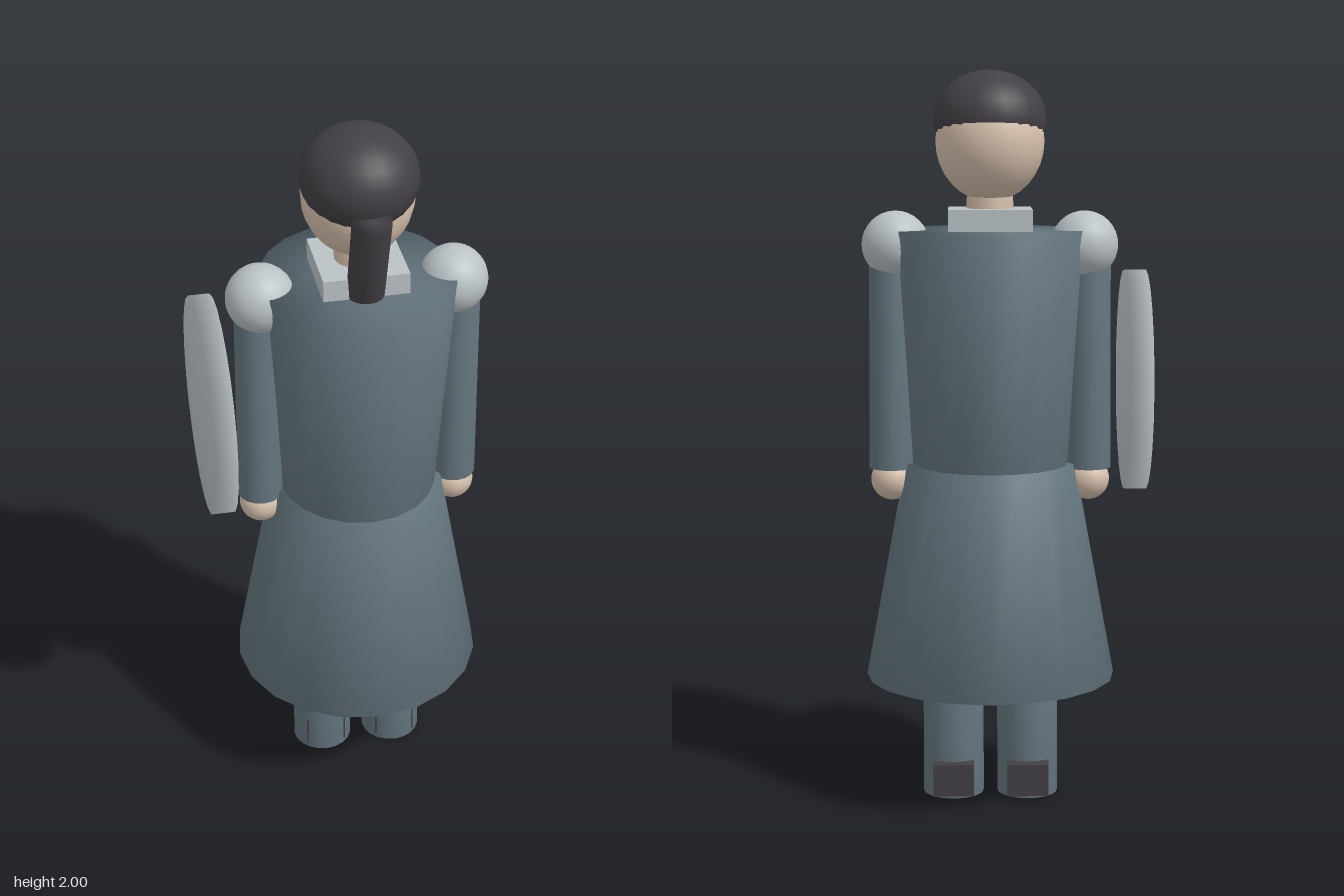
import * as THREE from 'three';
import { mergeVertices } from 'three/addons/utils/BufferGeometryUtils.js';

const material = (name, color) => {
  const m = new THREE.MeshStandardMaterial({ color });
  m.name = name;
  return m;
};

// Cylinder shaded smoothly across its rims
function softCylinder(rTop, rBottom, height, sides = 20) {
  const g = new THREE.CylinderGeometry(rTop, rBottom, height, sides);
  g.deleteAttribute('normal');
  g.deleteAttribute('uv');
  const merged = mergeVertices(g);
  merged.computeVertexNormals();
  return merged;
}

export function createModel() {
  const cloth = material('slate cloth', 0x65767f);
  const skin = material('skin', 0xd8c2ae);
  const metal = material('pale metal', 0xbac2c6);
  const dark = material('dark hair and leather', 0x434045);

  const model = new THREE.Group();
  model.name = 'shieldBearer';
  const body = new THREE.Group();
  body.name = 'body';
  body.position.set(0.033, 0, 0.011);
  model.add(body);

  const add = (parent, name, geometry, mat, x, y, z) => {
    const mesh = new THREE.Mesh(geometry, mat);
    mesh.name = name;
    mesh.position.set(x, y, z);
    parent.add(mesh);
    return mesh;
  };
  const ball = (r) => new THREE.SphereGeometry(r, 24, 16);

  // Coat: flared skirt and a torso that widens to the shoulders
  add(body, 'skirt', softCylinder(0.233, 0.343, 0.595), cloth, 0, 0.6375, 0);
  const torso = add(body, 'torso', softCylinder(0.273, 0.226, 0.64), cloth, 0, 1.252, 0);
  torso.scale.x = 0.945;

  // Collar and neck
  add(body, 'collar', new THREE.BoxGeometry(0.226, 0.08, 0.226), metal, 0, 1.59, 0.004);
  add(body, 'neck', softCylinder(0.062, 0.064, 0.2), skin, 0, 1.64, 0.004);

  // Head, with the hair as an overlapping cap set back from the face
  const head = add(body, 'head', ball(1), skin, 0, 1.81, -0.003);
  head.scale.set(0.147, 0.162, 0.148);
  const hair = add(body, 'hair', ball(1), dark, 0, 1.868, 0.015);
  hair.scale.set(0.153, 0.132, 0.159);

  // Ponytail hanging from the back of the head into the collar
  const tail = add(body, 'ponytail', softCylinder(0.051, 0.049, 0.31, 16), dark, 0, 1.675, 0.128);
  tail.rotation.x = 0.286;

  // Limbs, mirrored
  for (const side of [-1, 1]) {
    const label = side > 0 ? 'left' : 'right';
    add(body, label + 'Shoulder', ball(0.092), metal, side * 0.256, 1.532, 0);
    add(body, label + 'Arm', softCylinder(0.058, 0.062, 0.6, 16), cloth, side * 0.27, 1.22, 0.004);
    add(body, label + 'Hand', ball(0.058), skin, side * 0.27, 0.889, 0.004);
    add(body, label + 'Leg', softCylinder(0.084, 0.084, 0.42), cloth, side * 0.103, 0.21, 0.002);
    add(body, label + 'Shoe', new THREE.BoxGeometry(0.113, 0.09, 0.178), dark, side * 0.103, 0.06, -0.022);
  }

  // Round shield standing beside the right arm
  const shield = add(model, 'shield', softCylinder(0.297, 0.297, 0.058, 24), metal, -0.356, 1.172, -0.058);
  shield.rotation.z = Math.PI / 2;

  return model;
}
